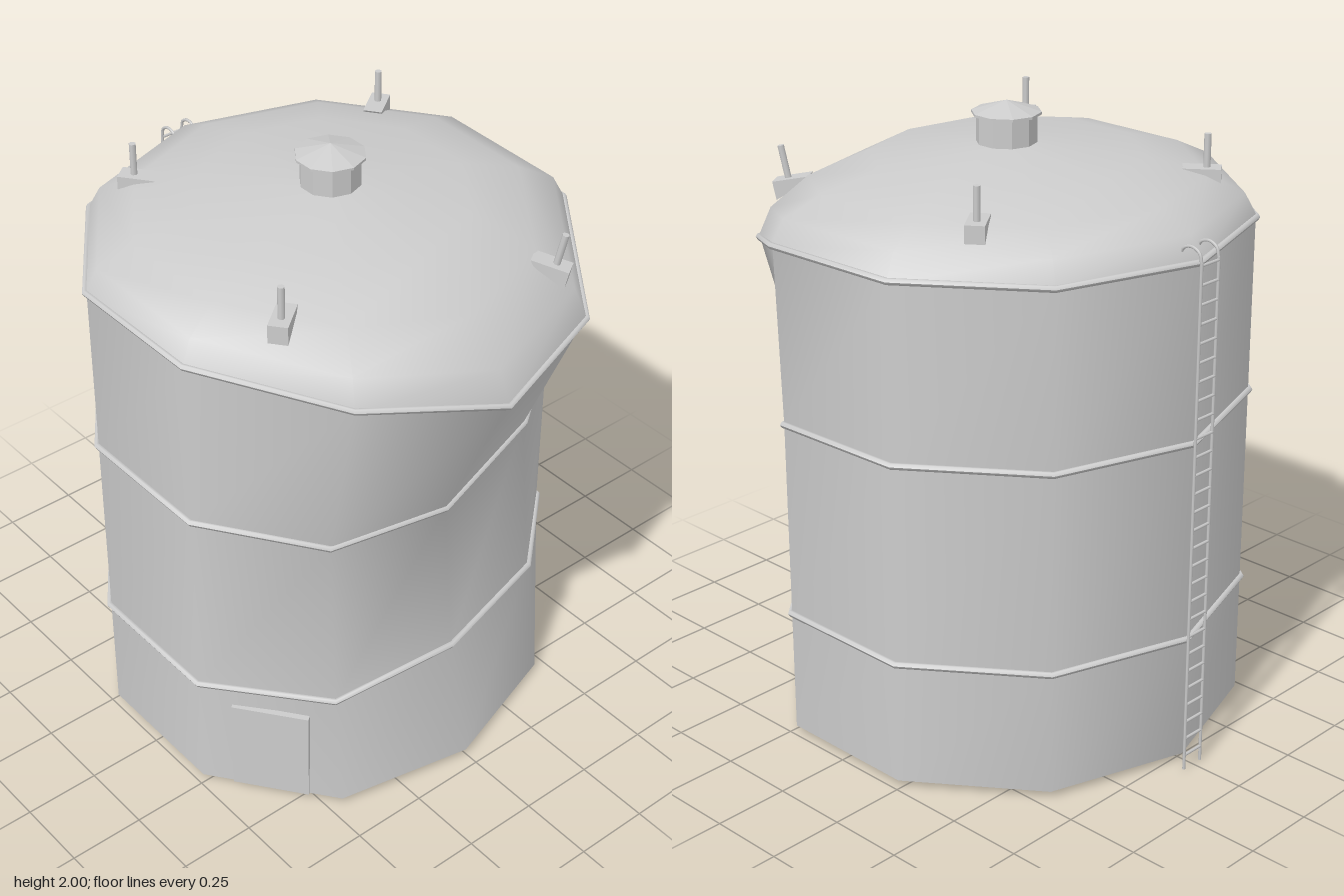
import * as THREE from 'three';

const SIDES = 10, R = 0.77;
const grey = new THREE.MeshStandardMaterial({ color: 0xcccccc });
const greyOpen = new THREE.MeshStandardMaterial({ color: 0xcccccc, side: THREE.DoubleSide });
const greyFlat = new THREE.MeshStandardMaterial({ color: 0xcccccc, flatShading: true });

// Shell levels: height, and the dent [dx, dy] of the corners on the crushed side
const LEVELS = [
  { y: 0.02, dent: { 0: [-0.07, 0], 1: [-0.015, 0], 9: [-0.07, 0] } },
  { y: 0.43, dent: { 0: [-0.165, -0.005], 1: [-0.05, 0], 9: [-0.14, -0.005] } },
  { y: 1.09, dent: { 0: [-0.215, -0.13], 1: [-0.075, -0.05], 9: [-0.2, -0.1], 8: [0, -0.01] } },
  { y: 1.66, dent: { 0: [0.03, -0.165], 1: [0.03, -0.05], 9: [0.03, -0.14], 8: [0.02, -0.01] } },
];

// Corner k of a level, at radius r and height y, with the dent weighted by w
function corner(level, k, r = R, y = level.y, w = 1) {
  const a = (k / SIDES) * Math.PI * 2;
  const [dx, dy] = level.dent[k] || [0, 0];
  return new THREE.Vector3(r * Math.cos(a) + dx * w, y + dy * w, r * Math.sin(a));
}

// Skin through closed rows of corners, listed from bottom to top
function loft(rows) {
  const pos = [], index = [];
  rows.forEach((row) => row.forEach((p) => pos.push(p.x, p.y, p.z)));
  for (let i = 0; i < rows.length - 1; i++) {
    for (let k = 0; k < SIDES; k++) {
      const n = (k + 1) % SIDES;
      const a = i * SIDES + k, b = i * SIDES + n, c = a + SIDES, d = b + SIDES;
      index.push(a, c, b, b, c, d);
    }
  }
  const geo = new THREE.BufferGeometry();
  geo.setAttribute('position', new THREE.Float32BufferAttribute(pos, 3));
  geo.setIndex(index);
  geo.computeVertexNormals();
  return geo;
}

const loop = (fn) => Array.from({ length: SIDES }, (_, k) => fn(k));

function add(parent, name, geo, mat = grey) {
  const mesh = new THREE.Mesh(geo, mat);
  mesh.name = name;
  parent.add(mesh);
  return mesh;
}

// Thin hoop following a level of the shell
function hoop(level) {
  const rows = [];
  for (let s = 0; s <= 6; s++) {
    const t = (s / 6) * Math.PI * 2;
    rows.push(loop((k) => corner(level, k, R + 0.003 + 0.011 * Math.cos(t), level.y + 0.011 * Math.sin(t))));
  }
  return loft(rows);
}

// Roof lug: wedge seated on the dome with an upright rod
function lug(angle, radius, top, tilt) {
  const g = new THREE.Group();
  g.name = 'roofLug';
  const side = new THREE.Shape([
    new THREE.Vector2(-0.075, 0), new THREE.Vector2(-0.06, -0.02),
    new THREE.Vector2(0.045, -0.06), new THREE.Vector2(0.045, 0),
  ]);
  const wedge = new THREE.ExtrudeGeometry(side, { depth: 0.06, bevelEnabled: false });
  wedge.translate(0, 0, -0.03);
  add(g, 'lugBlock', wedge);
  add(g, 'lugRod', new THREE.CylinderGeometry(0.011, 0.011, 0.12, 8)).position.y = 0.045;
  g.rotation.order = 'YXZ';
  g.rotation.set(0, -angle, -tilt);
  g.position.set(radius * Math.cos(angle), top, radius * Math.sin(angle));
  return g;
}

export function createModel() {
  const model = new THREE.Group();
  model.name = 'dentedTank';

  // Open-bottomed wall
  add(model, 'wall', loft(LEVELS.map((l) => loop((k) => corner(l, k)))), greyOpen);

  // Hoops
  LEVELS.slice(1).forEach((l) => add(model, 'hoop', hoop(l)));

  // Domed roof, sagging with the rim
  const rim = LEVELS[3];
  const dome = [[0.775, 1.66], [0.735, 1.735], [0.62, 1.79], [0.43, 1.84], [0.1, 1.87], [0.001, 1.875]];
  const roofRows = dome.map(([r, y]) => loop((k) => corner(rim, k, r, y, Math.pow(r / 0.775, 4))));
  add(model, 'roof', loft(roofRows), greyOpen);

  // Roof vent with pointed cap
  const vent = new THREE.Group();
  vent.name = 'vent';
  const turn = Math.PI / 2;
  const neck = add(vent, 'ventNeck', new THREE.CylinderGeometry(0.095, 0.095, 0.11, SIDES), greyFlat);
  neck.position.y = 1.91;
  const eave = add(vent, 'ventEave', new THREE.CylinderGeometry(0.109, 0.109, 0.008, SIDES), greyFlat);
  eave.position.y = 1.962;
  const cap = add(vent, 'ventCap', new THREE.ConeGeometry(0.109, 0.034, SIDES), greyFlat);
  cap.position.y = 1.983;
  vent.rotation.y = turn;
  model.add(vent);

  // Four roof lugs, the one above the dent leaning outwards
  const deg = Math.PI / 180;
  model.add(lug(-126 * deg, 0.615, 1.81, 0));
  model.add(lug(143 * deg, 0.615, 1.81, 0));
  model.add(lug(52 * deg, 0.635, 1.805, 0));
  model.add(lug(-33 * deg, 0.7, 1.715, 0.2));

  // Door panel almost flush with the front wall facet
  const door = add(model, 'door', new THREE.BoxGeometry(0.25, 0.335, 0.02));
  door.position.set(0.42, 0.1875, 0.592);
  door.rotation.y = Math.atan2(0.37, 0.28) - 16 * deg;

  // Ladder with hooked rails
  const ladder = new THREE.Group();
  ladder.name = 'ladder';
  for (const z of [-0.042, 0.036]) {
    const rail = new THREE.CylinderGeometry(0.005, 0.005, 1.68, 6);
    add(ladder, 'ladderRail', rail).position.set(-0.813, 0.84, z);
    const bend = new THREE.CatmullRomCurve3([
      [-0.813, 1.675], [-0.805, 1.705], [-0.775, 1.72], [-0.745, 1.71], [-0.735, 1.69],
    ].map(([x, y]) => new THREE.Vector3(x, y, z)));
    add(ladder, 'ladderHook', new THREE.TubeGeometry(bend, 12, 0.005, 6));
  }
  for (let i = 0; i < 28; i++) {
    const rung = new THREE.CylinderGeometry(0.005, 0.005, 0.078, 6).rotateX(Math.PI / 2);
    add(ladder, 'ladderRung', rung).position.set(-0.813, 0.05 + i * 0.06, -0.003);
  }
  model.add(ladder);

  return model;
}
